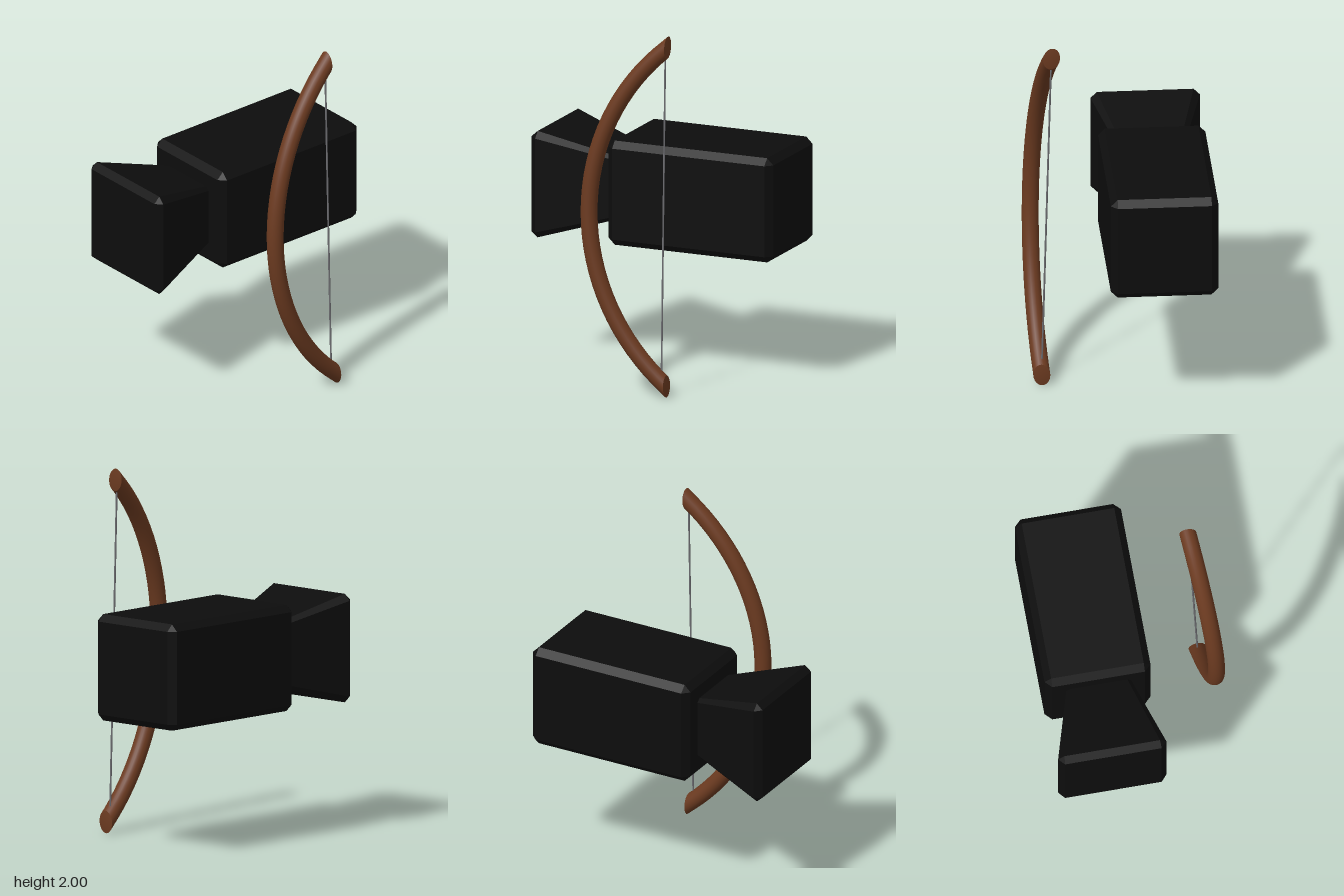
import * as THREE from 'three';

const black = new THREE.MeshStandardMaterial({ color: 0x0d0d0d, flatShading: true });
const wood = new THREE.MeshStandardMaterial({ color: 0x6b3a20 });
const wire = new THREE.MeshStandardMaterial({ color: 0x6e6e72 });

// Solid lofted along z through chamfered rectangles: [z, halfWidth, halfHeight, chamfer]
function chamferLoft(sections) {
  const pos = [], index = [], n = 8;
  for (const [z, w, h, c] of sections) {
    const ring = [[w, c - h], [w, h - c], [w - c, h], [c - w, h],
      [-w, h - c], [-w, c - h], [c - w, -h], [w - c, -h]];
    for (const [x, y] of ring) pos.push(x, y, z);
  }
  for (let s = 0; s < sections.length - 1; s++) {
    for (let i = 0; i < n; i++) {
      const a = s * n + i, b = s * n + (i + 1) % n;
      index.push(a, b, b + n, a, b + n, a + n);
    }
  }
  const last = (sections.length - 1) * n;
  for (let i = 1; i < n - 1; i++) {
    index.push(0, i + 1, i, last, last + i, last + i + 1);
  }
  const geo = new THREE.BufferGeometry();
  geo.setAttribute('position', new THREE.Float32BufferAttribute(pos, 3));
  geo.setIndex(index);
  const flat = geo.toNonIndexed();
  flat.computeVertexNormals();
  return flat;
}

function addMesh(group, name, geometry, material) {
  const mesh = new THREE.Mesh(geometry, material);
  mesh.name = name;
  group.add(mesh);
  return mesh;
}

export function createModel() {
  const model = new THREE.Group();
  model.name = 'cameraAndBow';

  // Camera body and its flared lens hood
  const camera = new THREE.Group();
  camera.name = 'camera';
  camera.position.set(-0.207, 1.004, 0);
  model.add(camera);
  const c = 0.037, w = 0.291;
  addMesh(camera, 'cameraBody', chamferLoft([
    [-0.716, w - c, w - c, 0], [-0.716 + c, w, w, c],
    [0.263 - c, w, w, c], [0.263, w - c, w - c, 0],
  ]), black);
  addMesh(camera, 'lensHood', chamferLoft([
    [0.2, 0.16, 0.16, 0.018], [0.68, 0.297, 0.297, 0.035], [0.716, 0.265, 0.265, 0],
  ]), black);

  // Bow: circular arc through the grip and both tips
  const bow = new THREE.Group();
  bow.name = 'bow';
  model.add(bow);
  const top = new THREE.Vector3(0.371, 1.94, -0.236);
  const bottom = new THREE.Vector3(0.425, 0.064, -0.254);
  const middle = top.clone().add(bottom).multiplyScalar(0.5);
  const bulge = new THREE.Vector3(0.451, middle.y, 0.194).sub(middle);
  const half = top.clone().sub(middle);
  const sag = bulge.length(), reach = half.length();
  const radius = (reach * reach + sag * sag) / (2 * sag);
  const sweep = Math.asin(reach / radius);
  bulge.normalize();
  half.normalize();
  const points = [];
  for (let i = 0; i <= 24; i++) {
    const a = sweep * (i / 12 - 1);
    points.push(middle.clone()
      .addScaledVector(half, radius * Math.sin(a))
      .addScaledVector(bulge, radius * Math.cos(a) - radius + sag));
  }
  const path = new THREE.CatmullRomCurve3(points);
  const segments = 32, sides = 24;
  const limb = new THREE.TubeGeometry(path, segments, 0.046, sides);

  // Slide the end rings along the limb so the tips are cut upright, then cap them
  const p = limb.attributes.position, v = new THREE.Vector3();
  for (const [ring, tip, facing] of [[0, bottom, 1], [segments, top, -1]]) {
    const tangent = path.getTangentAt(ring / segments);
    const cap = [tip.x, tip.y, tip.z - 0.008], capIndex = [];
    for (let j = 0; j <= sides; j++) {
      const k = ring * (sides + 1) + j;
      v.fromBufferAttribute(p, k);
      v.addScaledVector(tangent, (tip.z - v.z) / tangent.z);
      p.setXYZ(k, v.x, v.y, v.z);
      cap.push(v.x, v.y, v.z);
      if (j < sides) capIndex.push(0, j + 1, j + 2);
    }
    const geo = new THREE.BufferGeometry();
    geo.setAttribute('position', new THREE.Float32BufferAttribute(cap, 3));
    geo.setIndex(capIndex);
    geo.computeVertexNormals();
    // Both caps look backwards; flip the winding where needed
    if (geo.attributes.normal.getZ(0) > 0) {
      geo.setIndex(capIndex.reverse());
      geo.computeVertexNormals();
    }
    addMesh(bow, facing > 0 ? 'lowerTip' : 'upperTip', geo, wood);
  }
  addMesh(bow, 'bowLimb', limb, wood);

  // Bowstring between the tips
  const start = new THREE.Vector3(0.423, 0.09, -0.223);
  const end = new THREE.Vector3(0.372, 1.92, -0.223);
  const string = new THREE.TubeGeometry(new THREE.LineCurve3(start, end), 1, 0.005, 8);
  addMesh(bow, 'bowString', string, wire);

  return model;
}
